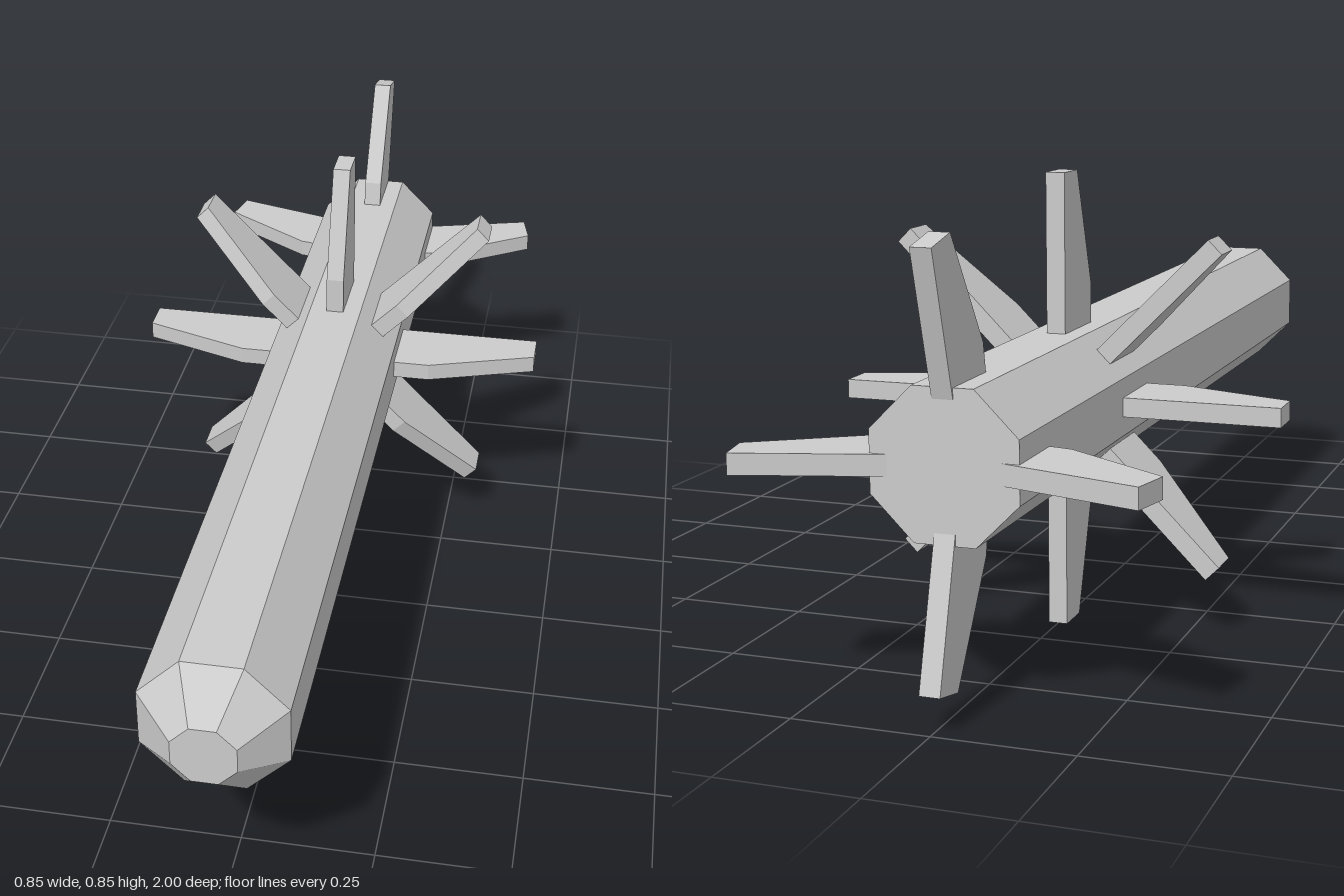
import * as THREE from 'three';

const AXIS_Y = 0.428;
const material = new THREE.MeshStandardMaterial({ color: 0xcccccc, flatShading: true });

// Flat fin plate: outline given as [distance from axis, z]
function finGeometry(outline, thickness) {
  const shape = new THREE.Shape(outline.map(([r, z]) => new THREE.Vector2(r, z)));
  const geometry = new THREE.ExtrudeGeometry(shape, { depth: thickness, bevelEnabled: false });
  geometry.translate(0, 0, -thickness / 2);
  geometry.rotateX(Math.PI / 2);
  return geometry;
}

// Ring of fins spaced evenly around the body axis
function finRing(name, geometry, count) {
  const ring = new THREE.Group();
  ring.name = name + 's';
  for (let i = 0; i < count; i++) {
    const fin = new THREE.Mesh(geometry, material);
    fin.name = name;
    fin.rotation.z = (i / count) * Math.PI * 2;
    ring.add(fin);
  }
  return ring;
}

export function createModel() {
  const model = new THREE.Group();
  model.name = 'missile';

  // Octagonal body with a blunt tapered nose
  const profile = [[0, -0.928], [0.141, -0.928], [0.141, 0.925], [0.061, 1], [0, 1]]
    .map(([r, z]) => new THREE.Vector2(r, z));
  const bodyGeometry = new THREE.LatheGeometry(profile, 8, Math.PI / 8);
  bodyGeometry.rotateX(Math.PI / 2);
  const body = new THREE.Mesh(bodyGeometry, material);
  body.name = 'body';
  body.position.y = AXIS_Y;
  model.add(body);

  // Eight wings around the middle
  const wing = finGeometry(
    [[0.1, -0.262], [0.1, -0.407], [0.427, -0.407], [0.427, -0.337], [0.205, -0.262]], 0.036);
  const wings = finRing('wing', wing, 8);
  wings.position.y = AXIS_Y;
  model.add(wings);

  // Four swept tail fins, the side pair set slightly inward and lower
  const tail = finGeometry(
    [[0.1, -0.785], [0.1, -0.925], [0.361, -1], [0.377, -0.927], [0.182, -0.8]], 0.037);
  const tails = finRing('tailFin', tail, 4);
  tails.position.y = AXIS_Y;
  tails.children.forEach((fin, i) => {
    if (i % 2 === 0) fin.position.set(i === 0 ? -0.011 : 0.011, -0.005, 0);
  });
  model.add(tails);

  return model;
}
